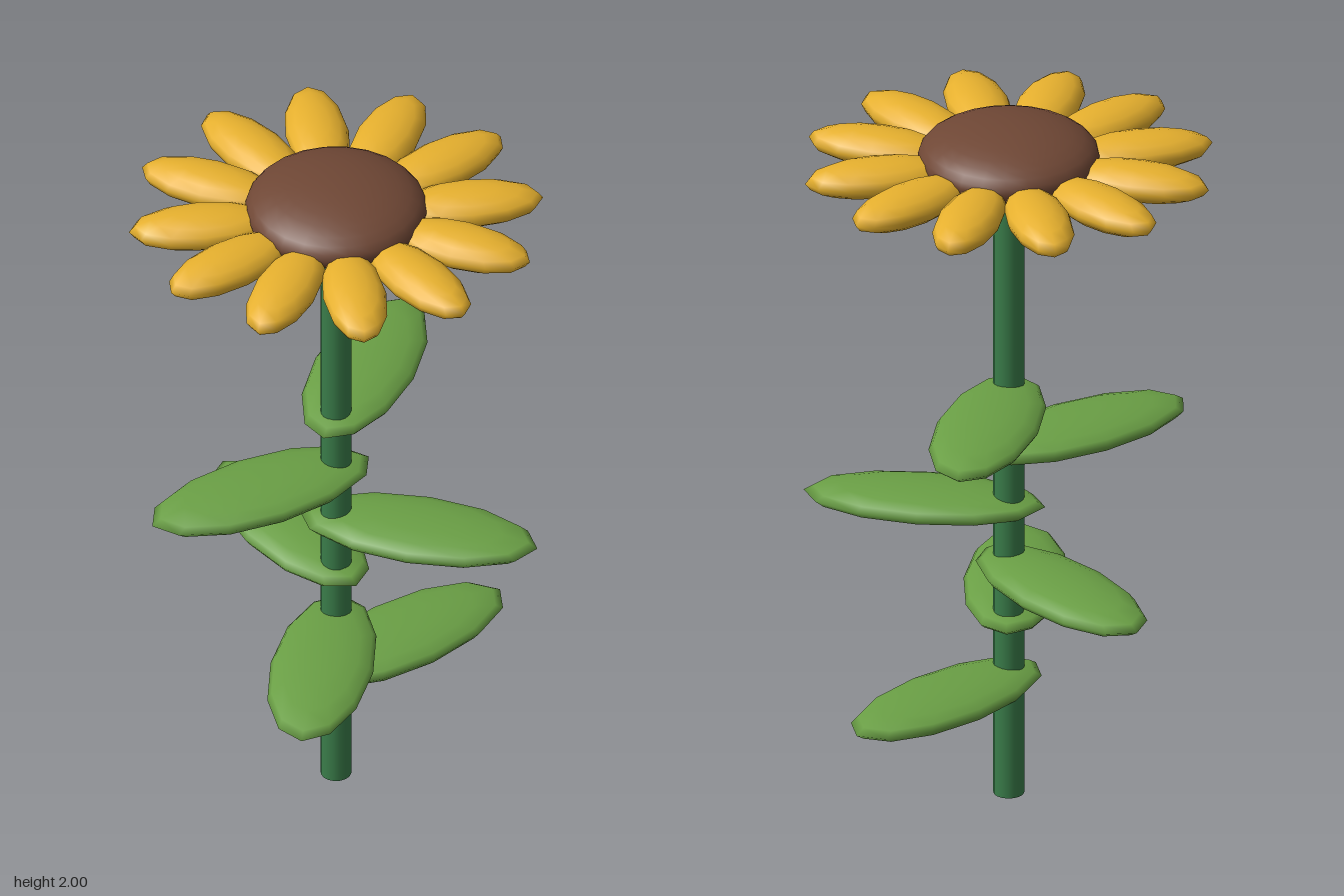
import * as THREE from 'three';

const mat = (name, color) => {
  const m = new THREE.MeshStandardMaterial({ color });
  m.name = name;
  return m;
};

export function createModel() {
  const flower = new THREE.Group();
  flower.name = 'flower';

  const stemGreen = mat('stem green', 0x3a7d4a);
  const leafGreen = mat('leaf green', 0x6a9f45);
  const petalYellow = mat('petal yellow', 0xe6b02e);
  const seedBrown = mat('seed brown', 0x6f4735);

  const add = (name, geometry, material) => {
    const mesh = new THREE.Mesh(geometry, material);
    mesh.name = name;
    flower.add(mesh);
    return mesh;
  };

  // Flattened ellipsoid whose long axis points outward from the stem
  const blade = (length, thickness, width) =>
    new THREE.SphereGeometry(1, 12, 8).scale(length, thickness, width);
  const placeAround = (mesh, angle, radius, y) => {
    mesh.position.set(Math.cos(angle) * radius, y, Math.sin(angle) * radius);
    mesh.rotation.y = -angle;
  };

  // Stem
  const stemHeight = 1.82;
  add('stem', new THREE.CylinderGeometry(0.042, 0.042, stemHeight, 16), stemGreen)
    .position.y = stemHeight / 2;

  // Leaves spiral up the stem by the golden angle
  const leafShape = blade(0.33, 0.042, 0.14);
  const goldenAngle = THREE.MathUtils.degToRad(137.5);
  for (let i = 0; i < 6; i++) {
    placeAround(add(`leaf${i + 1}`, leafShape, leafGreen), i * goldenAngle, 0.23, 0.355 + i * 0.169);
  }

  // Ring of petals
  const petalShape = blade(0.2, 0.05, 0.086);
  for (let i = 0; i < 12; i++) {
    placeAround(add(`petal${i + 1}`, petalShape, petalYellow), (i * Math.PI) / 6, 0.363, 1.885);
  }

  // Domed seed head
  add('seedHead', new THREE.SphereGeometry(1, 24, 16).scale(0.245, 0.09, 0.245), seedBrown)
    .position.y = 1.91;

  return flower;
}
